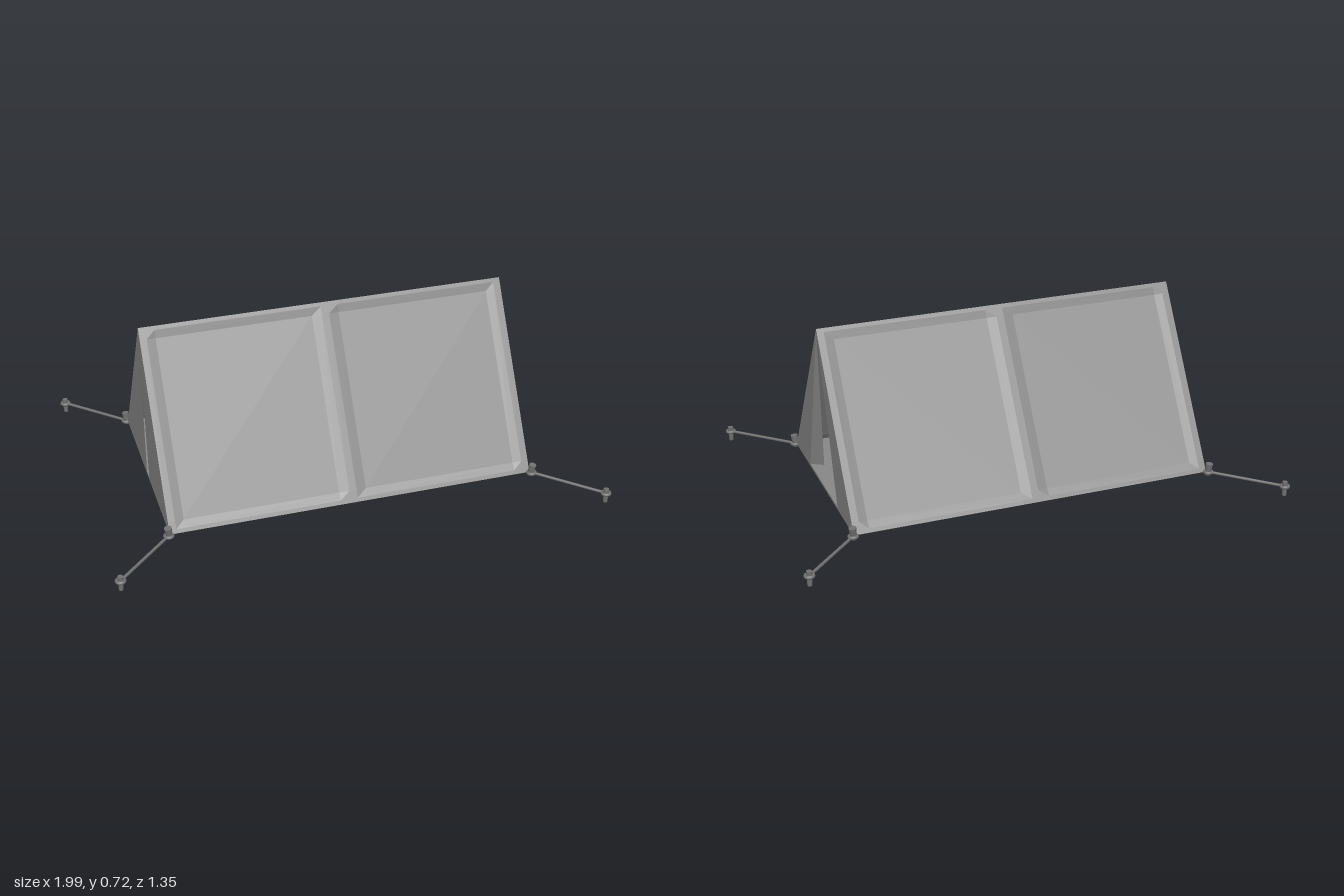
import * as THREE from 'three';

const cloth = new THREE.MeshStandardMaterial({ color: 0x868686, side: THREE.DoubleSide, flatShading: true });
const sheet = new THREE.MeshStandardMaterial({ color: 0x868686 });
const bedding = new THREE.MeshStandardMaterial({ color: 0x6c6c6c });
const fittings = new THREE.MeshStandardMaterial({ color: 0x707070 });

const HX = 0.743, HZ = 0.425, Y0 = 0.04, Y1 = 0.717;

function add(parent, name, geometry, material, x = 0, y = 0, z = 0) {
  const mesh = new THREE.Mesh(geometry, material);
  mesh.name = name;
  mesh.position.set(x, y, z);
  parent.add(mesh);
  return mesh;
}

// Flat triangle of cloth
function triangle(a, b, c) {
  const g = new THREE.BufferGeometry();
  g.setAttribute('position', new THREE.Float32BufferAttribute([...a, ...b, ...c], 3));
  g.computeVertexNormals();
  return g;
}

// One roof slope: two slightly sunken panels inside a raised hem
function roofSlope(side) {
  const us = [-HX, -0.715, -0.68, -0.055, -0.015, 0.015, 0.055, 0.68, 0.715, HX];
  const vs = [0, 0.02, 0.06, 0.94, 0.98, 1];
  const len = Math.hypot(HZ, Y1 - Y0);
  const ny = HZ / len, nz = (Y1 - Y0) / len;
  const pos = [], idx = [];
  vs.forEach((v, j) => us.forEach((x, i) => {
    const sunk = (j === 2 || j === 3) && [2, 3, 6, 7].includes(i) ? 0.006 : 0;
    pos.push(x, Y0 + (Y1 - Y0) * v - ny * sunk, side * (HZ * (1 - v) - nz * sunk));
  }));
  const n = us.length;
  for (let j = 0; j < vs.length - 1; j++) {
    for (let i = 0; i < n - 1; i++) {
      const a = j * n + i, b = a + 1, c = a + n, d = c + 1;
      if (side > 0) idx.push(a, b, d, a, d, c);
      else idx.push(a, d, b, a, c, d);
    }
  }
  const g = new THREE.BufferGeometry();
  g.setAttribute('position', new THREE.Float32BufferAttribute(pos, 3));
  g.setIndex(idx);
  g.computeVertexNormals();
  return g;
}

// Rope, eyelets and stakes at one corner
function guyLine(sx, sz) {
  const g = new THREE.Group();
  g.name = 'guyLine';
  const inner = new THREE.Vector3(sx * 0.748, 0.042, sz * 0.433);
  const outer = new THREE.Vector3(sx * 0.975, 0.04, sz * 0.652);

  const rope = new THREE.LineCurve3(inner, outer);
  add(g, 'rope', new THREE.TubeGeometry(rope, 1, 0.006, 8), fittings);

  for (const p of [inner, outer]) {
    const ring = add(g, 'ropeLoop', new THREE.TorusGeometry(0.015, 0.007, 8, 16), fittings, p.x, p.y, p.z);
    ring.rotation.x = Math.PI / 2;
  }
  add(g, 'stake', new THREE.CylinderGeometry(0.011, 0.009, 0.06, 10), fittings, outer.x, 0.03, outer.z);
  const toggle = add(g, 'cornerToggle', new THREE.CylinderGeometry(0.015, 0.012, 0.05, 10),
    fittings, inner.x, 0.055, inner.z);
  toggle.rotation.set(sz * 0.1, 0, -sx * 0.1);
  return g;
}

export function createModel() {
  const tent = new THREE.Group();
  tent.name = 'tent';

  // Groundsheet, tucked just inside the roof hems
  add(tent, 'groundsheet', new THREE.BoxGeometry(HX * 2, 0.01, HZ * 2 - 0.014), sheet, 0, Y0 + 0.005, 0);

  for (const s of [1, -1]) {
    add(tent, 'roofSlope', roofSlope(s), cloth);

    // Open entrance with narrow door flaps turned inward
    const apex = [HX, Y1, 0], hinge = [HX, Y0, s * 0.205];
    add(tent, 'entrancePanel', triangle(apex, [HX, Y0, s * HZ], hinge), cloth);
    add(tent, 'doorFlap', triangle(apex, hinge, [HX - 0.05, Y0 + 0.01, s * 0.172]), cloth);

    // Nearly closed far end, leaving a narrow slit
    add(tent, 'rearPanel',
      triangle([-HX, Y1, 0], [-HX, Y0, s * HZ], [-HX, Y0, s > 0 ? 0.037 : -0.012]), cloth);

    // Sleeping mat, cover and pillow
    const bed = new THREE.Group();
    bed.name = 'bed';
    add(bed, 'mat', new THREE.BoxGeometry(1.24, 0.02, 0.29), bedding, 0, 0.06, s * 0.178);
    add(bed, 'cover', new THREE.BoxGeometry(1.22, 0.008, 0.29), bedding, 0, 0.073, s * 0.178);
    add(bed, 'pillow', new THREE.BoxGeometry(0.2, 0.025, 0.29), bedding, -0.5, 0.088, s * 0.178);
    tent.add(bed);

    for (const sx of [1, -1]) tent.add(guyLine(sx, s));
  }
  return tent;
}
